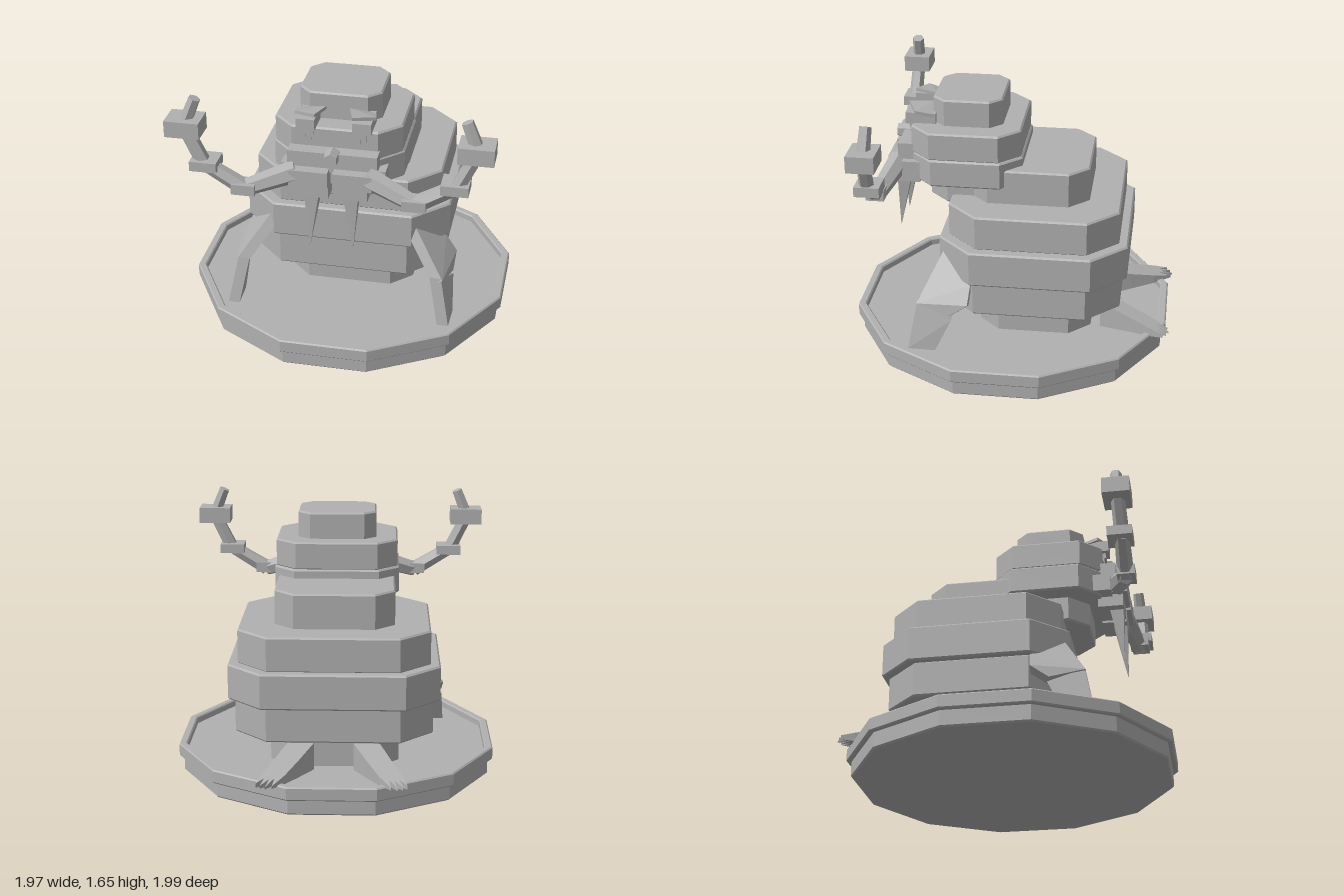
import * as THREE from 'three';
import { ConvexGeometry } from 'three/addons/geometries/ConvexGeometry.js';

const stone = new THREE.MeshStandardMaterial({ color: 0xb0b0b0, flatShading: true });
stone.name = 'stone grey';

function add(parent, name, geometry) {
  const mesh = new THREE.Mesh(geometry, stone);
  mesh.name = name;
  parent.add(mesh);
}

const V = (x, y, z) => new THREE.Vector3(x, y, z);

// Extrude a plan outline (x, -z) upwards from y0 to y1 with a small bevelled edge
function slab(shape, y0, y1, bevel = 0.01) {
  const g = new THREE.ExtrudeGeometry(shape, {
    depth: y1 - y0 - 2 * bevel, bevelEnabled: true, bevelSegments: 1,
    bevelSize: bevel, bevelThickness: bevel, bevelOffset: -bevel,
  });
  g.rotateX(-Math.PI / 2);
  g.translate(0, y0 + bevel, 0);
  return g;
}

// Rectangle with cut corners
function cutRect(halfX, zBack, zFront, c) {
  const a = -zFront, b = -zBack;
  return new THREE.Shape([
    [halfX - c, a], [halfX, a + c], [halfX, b - c], [halfX - c, b],
    [-halfX + c, b], [-halfX, b - c], [-halfX, a + c], [-halfX + c, a],
  ].map(([x, y]) => new THREE.Vector2(x, y)));
}

// Twelve-sided outline with a flat side to the front
function dodecagon(apothem) {
  const r = apothem / Math.cos(Math.PI / 12), pts = [];
  for (let i = 0; i < 12; i++) {
    const t = (i + 0.5) * Math.PI / 6;
    pts.push(new THREE.Vector2(r * Math.cos(t), r * Math.sin(t) - 0.013));
  }
  return pts;
}

// Box given by its limits
function box(x0, x1, y0, y1, z0, z1) {
  const g = new THREE.BoxGeometry(x1 - x0, y1 - y0, z1 - z0);
  g.translate((x0 + x1) / 2, (y0 + y1) / 2, (z0 + z1) / 2);
  return g;
}

// Tapered prism between two points
function limb(a, b, ra, rb, sides = 6) {
  const d = b.clone().sub(a);
  const g = new THREE.CylinderGeometry(rb, ra, d.length(), sides);
  g.applyQuaternion(new THREE.Quaternion().setFromUnitVectors(V(0, 1, 0), d.normalize()));
  g.translate((a.x + b.x) / 2, (a.y + b.y) / 2, (a.z + b.z) / 2);
  return g;
}

// Flat plate: outer corners plus the same corners shifted inwards
function plate(corners, shift) {
  return new ConvexGeometry([...corners, ...corners.map((p) => p.clone().add(shift))]);
}

// Hind flipper: plan outline with pointed toes, sloping down to the back
function hindFlipperGeometry() {
  const outline = [
    [0.12, -0.56], [0.2, -0.73], [0.275, -0.88], [0.345, -0.985], [0.335, -0.91],
    [0.385, -0.995], [0.365, -0.92], [0.415, -0.98], [0.395, -0.91], [0.44, -0.96],
    [0.415, -0.88], [0.35, -0.73], [0.28, -0.56],
  ].map(([x, z]) => new THREE.Vector2(x, -z));
  const g = new THREE.ExtrudeGeometry(new THREE.Shape(outline), { depth: 1, bevelEnabled: false });
  g.rotateX(-Math.PI / 2);
  const p = g.attributes.position;
  for (let i = 0; i < p.count; i++) {
    const t = (-0.56 - p.getZ(i)) / 0.43;
    const low = 0.14 + 0.04 * t, high = 0.31 - 0.115 * t;
    p.setY(i, low + (high - low) * p.getY(i));
  }
  g.computeVertexNormals();
  return g;
}

// Everything that exists once per side, built for +x
function buildSide() {
  const side = new THREE.Group();

  // Whisker arm: curved chain of prisms with blocks at the joints
  const whisker = new THREE.Group();
  whisker.name = 'whisker';
  const path = [V(0.21, 1.19, 0.7), V(0.5, 1.09, 0.78), V(0.74, 1.235, 0.785), V(0.85, 1.46, 0.775), V(0.78, 1.635, 0.765)];
  const radii = [0.07, 0.052, 0.045, 0.042, 0.036];
  for (let i = 0; i < 4; i++) add(whisker, 'whiskerSegment', limb(path[i], path[i + 1], radii[i], radii[i + 1]));
  add(whisker, 'whiskerBend', box(0.43, 0.57, 1.07, 1.135, 0.73, 0.84));
  add(whisker, 'whiskerElbow', box(0.65, 0.81, 1.205, 1.265, 0.7, 0.85));
  add(whisker, 'whiskerCuff', box(0.74, 0.945, 1.415, 1.515, 0.69, 0.855));
  side.add(whisker);

  // Cheek pads and tusk
  add(side, 'upperCheek', box(0.015, 0.245, 1.125, 1.225, 0.62, 0.765));
  add(side, 'lowerCheek', box(0.015, 0.215, 1.045, 1.14, 0.58, 0.735));
  add(side, 'tusk', limb(V(0.115, 1.06, 0.69), V(0.13, 0.71, 0.725), 0.062, 0.002, 4));

  // Eye with small lids below, and slanted brow
  add(side, 'eye', box(0.11, 0.22, 1.435, 1.505, 0.47, 0.655));
  add(side, 'eyelid', box(0.12, 0.19, 1.4, 1.437, 0.58, 0.635));
  add(side, 'eyeBag', box(0.135, 0.155, 1.36, 1.4, 0.59, 0.625));
  add(side, 'eyeBag', box(0.17, 0.19, 1.375, 1.4, 0.59, 0.625));
  add(side, 'brow', plate([V(0.07, 1.53, 0.51), V(0.22, 1.5, 0.48), V(0.24, 1.525, 0.59), V(0.11, 1.54, 0.65)], V(0, -0.02, 0)));

  // Front flipper: upper arm plate and paw plate
  add(side, 'frontFlipperArm', plate([
    V(0.455, 0.7, 0.4), V(0.62, 0.56, 0.21), V(0.69, 0.46, 0.22), V(0.685, 0.38, 0.33), V(0.645, 0.43, 0.54),
  ], V(-0.06, -0.03, 0)));
  add(side, 'frontFlipperPaw', plate([
    V(0.635, 0.44, 0.535), V(0.685, 0.35, 0.32), V(0.7, 0.14, 0.42), V(0.695, 0.14, 0.59),
  ], V(-0.07, 0, 0)));

  add(side, 'hindFlipper', hindFlipperGeometry());
  return side;
}

// Copy a side to the other half, keeping faces outward
function mirrored(source) {
  const copy = source.clone(true);
  copy.traverse((o) => {
    if (!o.isMesh) return;
    const g = o.geometry.index ? o.geometry.toNonIndexed() : o.geometry.clone();
    const p = g.attributes.position;
    for (let i = 0; i < p.count; i += 3) {
      const t = [0, 2, 1].map((k) => V(-p.getX(i + k), p.getY(i + k), p.getZ(i + k)));
      t.forEach((v, k) => p.setXYZ(i + k, v.x, v.y, v.z));
    }
    g.computeVertexNormals();
    o.geometry = g;
  });
  return copy;
}

export function createModel() {
  const model = new THREE.Group();
  model.name = 'walrusStatue';

  // Pedestal with raised rim and sunken floor
  add(model, 'pedestalFoot', slab(new THREE.Shape(dodecagon(0.955)), 0, 0.11));
  const rim = new THREE.Shape(dodecagon(0.985));
  rim.holes.push(new THREE.Path(dodecagon(0.935).reverse()));
  add(model, 'pedestalRim', slab(rim, 0.1, 0.185, 0.008));
  add(model, 'pedestalFloor', slab(new THREE.Shape(dodecagon(0.95)), 0.1, 0.14, 0.002));

  // Body and head tiers: name, half width, back z, front z, corner cut, bottom, top
  const tiers = [
    ['belly', 0.395, -0.5, 0.2, 0.13, 0.13, 0.36],
    ['lowerBody', 0.6, -0.685, 0.4, 0.2, 0.355, 0.575],
    ['middleBody', 0.64, -0.725, 0.425, 0.21, 0.57, 0.79],
    ['upperBody', 0.58, -0.67, 0.37, 0.185, 0.785, 1.0],
    ['shoulders', 0.365, -0.475, 0.26, 0.12, 0.99, 1.215],
    ['chin', 0.27, 0.08, 0.52, 0.12, 0.945, 1.11],
    ['lowerHead', 0.39, -0.065, 0.605, 0.125, 1.1, 1.27],
    ['upperHead', 0.38, -0.055, 0.615, 0.125, 1.265, 1.44],
    ['crown', 0.245, 0.065, 0.49, 0.075, 1.43, 1.605],
  ];
  for (const [name, half, back, front, cut, y0, y1] of tiers) {
    add(model, name, slab(cutRect(half, back, front, cut), y0, y1));
  }

  // Muzzle and six-sided nose
  add(model, 'muzzle', box(-0.265, 0.265, 1.2, 1.32, 0.55, 0.7));
  add(model, 'muzzleBase', box(-0.31, 0.31, 1.11, 1.22, 0.55, 0.67));
  add(model, 'nose', limb(V(0, 1.3, 0.66), V(0, 1.3, 0.75), 0.048, 0.042));

  // Left and right parts
  const left = buildSide();
  left.name = 'leftSide';
  const right = mirrored(left);
  right.name = 'rightSide';
  model.add(left, right);
  return model;
}
